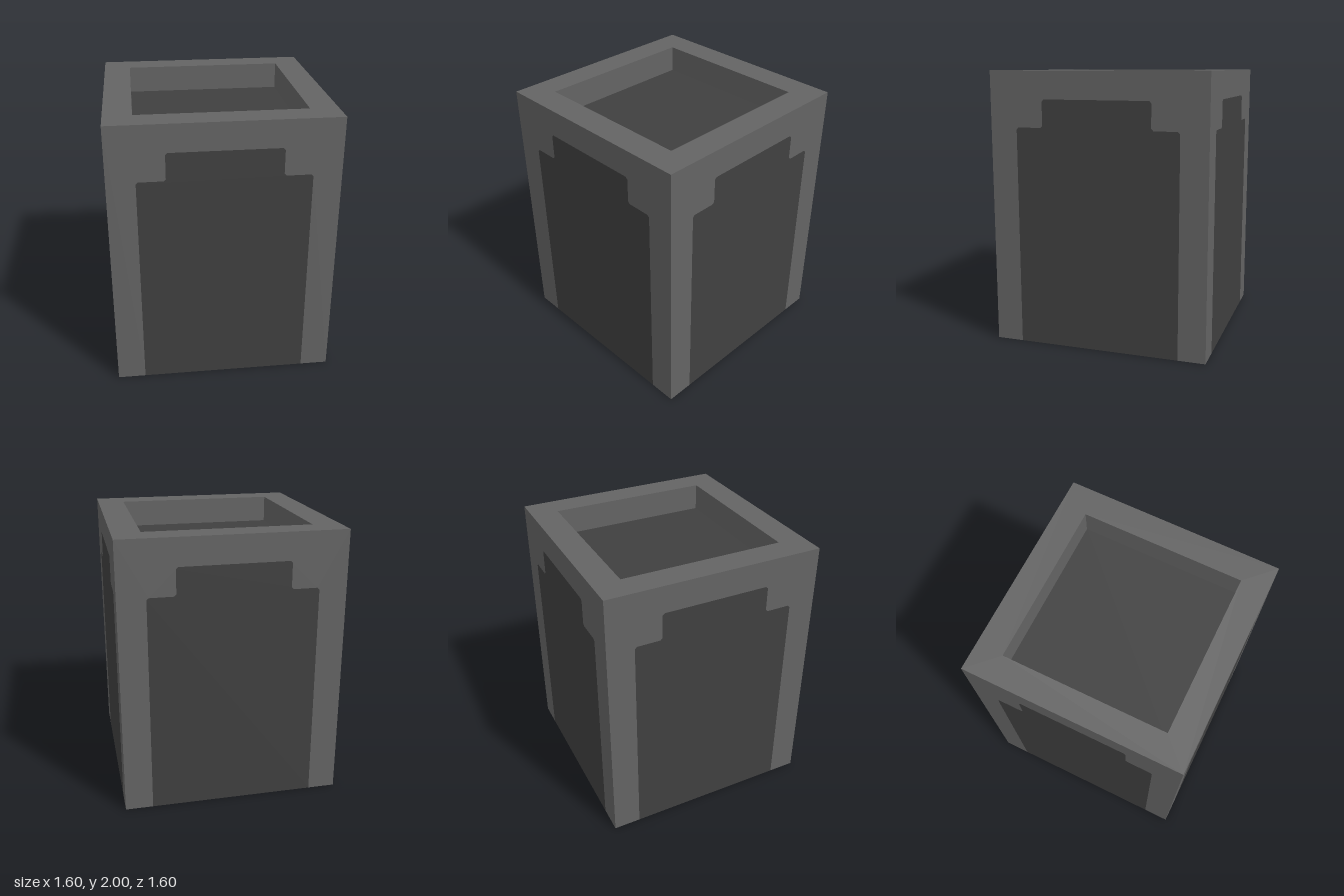
import * as THREE from 'three';

const HALF = 0.8, HEIGHT = 2, RIM = 0.6, DEPTH = 0.2, CUT = 0.015;

const V = (x, y) => new THREE.Vector2(x, y);

// Trims each corner of an outline, skipping the first and last point when it is open
function trim(points, open) {
  return points.flatMap((p, i) => {
    const n = points.length;
    if (open && (i === 0 || i === n - 1)) return [p];
    const toward = (q) => p.clone().add(q.clone().sub(p).setLength(CUT));
    return [toward(points[(i + n - 1) % n]), toward(points[(i + 1) % n])];
  });
}

function face(name, points, material, hole) {
  const shape = new THREE.Shape(points);
  if (hole) shape.holes.push(new THREE.Path(hole));
  const mesh = new THREE.Mesh(new THREE.ShapeGeometry(shape), material);
  mesh.name = name;
  return mesh;
}

const square = (r) => [V(-r, -r), V(r, -r), V(r, r), V(-r, r)];

export function createModel() {
  const frameGrey = new THREE.MeshStandardMaterial({ color: 0x646464 });
  frameGrey.name = 'frameGrey';
  const panelGrey = new THREE.MeshStandardMaterial({ color: 0x404040 });
  panelGrey.name = 'panelGrey';

  const model = new THREE.Group();
  model.name = 'steppedPanelBox';

  // Stepped dark panel and the frame that surrounds it on three sides
  const panel = trim([
    V(0.6, 0), V(0.6, 1.6), V(0.4, 1.6), V(0.4, 1.8),
    V(-0.4, 1.8), V(-0.4, 1.6), V(-0.6, 1.6), V(-0.6, 0),
  ], true);
  const frame = [...panel, V(-HALF, 0), V(-HALF, HEIGHT), V(HALF, HEIGHT), V(HALF, 0)];

  // Four equal sides, each with its inner wall of the top recess
  ['front', 'left', 'back', 'right'].forEach((name, i) => {
    const side = new THREE.Group();
    side.name = name + 'Side';
    const wall = new THREE.Mesh(new THREE.PlaneGeometry(2 * RIM, DEPTH), frameGrey);
    wall.name = 'recessWall';
    wall.position.set(0, HEIGHT - DEPTH / 2, RIM);
    wall.rotation.y = Math.PI;
    const outer = [face('sideFrame', frame, frameGrey), face('sidePanel', panel, panelGrey)];
    outer.forEach((m) => { m.position.z = HALF; });
    side.add(...outer, wall);
    side.rotation.y = i * Math.PI / 2;
    model.add(side);
  });

  // Top rim and sunken floor
  const rim = face('topRim', square(HALF), frameGrey, square(RIM));
  rim.position.y = HEIGHT;
  const floor = face('recessFloor', square(RIM), panelGrey);
  floor.position.y = HEIGHT - DEPTH;
  for (const m of [rim, floor]) m.rotation.x = -Math.PI / 2;
  model.add(rim, floor);

  // Underside: dark cross with a light foot in each corner
  const base = new THREE.Group();
  base.name = 'underside';
  base.rotation.x = Math.PI / 2;
  const notch = trim([V(HALF, RIM), V(RIM, RIM), V(RIM, HALF)], true);
  const cross = [];
  for (let i = 0; i < 4; i++) {
    const turn = (p) => p.clone().rotateAround(V(0, 0), i * Math.PI / 2);
    cross.push(...notch.map(turn));
    base.add(face('cornerFoot', [...notch, V(HALF, HALF)].map(turn), frameGrey));
  }
  base.add(face('basePanel', cross, panelGrey));
  model.add(base);

  return model;
}
